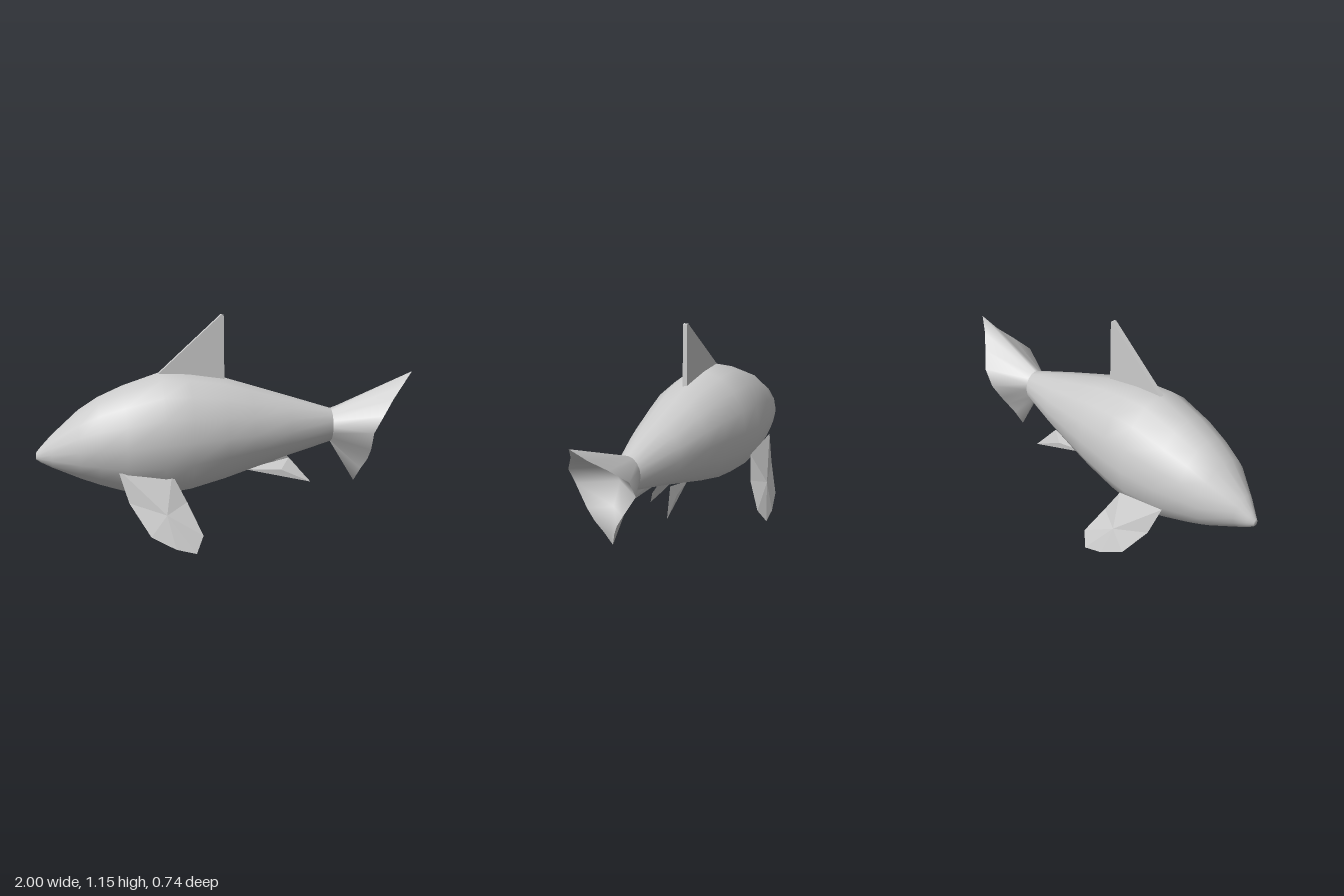
import * as THREE from 'three';

const SIDES = 16;
const V = (x, y, z) => new THREE.Vector3(x, y, z);

function material(options = {}) {
  return new THREE.MeshStandardMaterial({ color: 0xcccccc, ...options });
}

// Skin over rows of points; closed rows wrap round into a tube
function skin(rows, closed) {
  const n = rows[0].length;
  const index = [];
  for (let r = 0; r < rows.length - 1; r++) {
    for (let i = 0; i < (closed ? n : n - 1); i++) {
      const j = (i + 1) % n;
      const a = r * n + i, b = r * n + j, c = a + n, d = b + n;
      index.push(a, b, c, b, d, c);
    }
  }
  const geometry = new THREE.BufferGeometry().setFromPoints(rows.flat());
  geometry.setIndex(index);
  geometry.computeVertexNormals();
  return geometry;
}

// Oval cross-section, counted from the top round towards +z
function ring([x, top, bottom, halfWidth, z]) {
  return Array.from({ length: SIDES }, (_, i) => {
    const a = (i / SIDES) * Math.PI * 2;
    return V(x, (top + bottom) / 2 + ((top - bottom) / 2) * Math.cos(a), z + halfWidth * Math.sin(a));
  });
}

// Thin fin, thickest in the middle and sharp along its outline
function lensFin(outline, thickness) {
  const pts = outline.map((p) => V(...p));
  const centre = pts.reduce((s, p) => s.add(p), V(0, 0, 0)).divideScalar(pts.length);
  const normal = V(0, 0, 0);
  pts.forEach((p, i) => {
    const q = pts[(i + 1) % pts.length];
    normal.add(p.clone().sub(centre).cross(q.clone().sub(centre)));
  });
  normal.setLength(thickness / 2);
  const front = centre.clone().add(normal), back = centre.clone().sub(normal);
  const triangles = [];
  pts.forEach((p, i) => {
    const q = pts[(i + 1) % pts.length];
    triangles.push(front, p, q, back, q, p);
  });
  const geometry = new THREE.BufferGeometry().setFromPoints(triangles);
  geometry.computeVertexNormals();
  return geometry;
}

export function createModel() {
  const model = new THREE.Group();
  const add = (name, geometry, mat = material()) => {
    const mesh = new THREE.Mesh(geometry, mat);
    mesh.name = name;
    model.add(mesh);
  };

  // Body: x, top, bottom, half width, centre z
  const sections = [
    [-1, 0.445, 0.445, 0, 0],
    [-1, 0.465, 0.43, 0.015, 0],
    [-0.975, 0.495, 0.412, 0.035, 0],
    [-0.92, 0.555, 0.385, 0.075, 0.005],
    [-0.78, 0.68, 0.325, 0.175, 0.01],
    [-0.68, 0.745, 0.285, 0.207, 0.012],
    [-0.55, 0.803, 0.243, 0.243, 0.015],
    [-0.36, 0.865, 0.223, 0.27, 0.017],
    [-0.22, 0.857, 0.24, 0.258, 0.018],
    [-0.04, 0.828, 0.287, 0.235, 0.018],
    [0.1, 0.783, 0.33, 0.205, 0.016],
    [0.3, 0.718, 0.39, 0.155, 0.013],
    [0.55, 0.635, 0.455, 0.07, 0.01],
  ];
  add('body', skin(sections.map(ring), true));

  // Tail flares from the last body section to a leaf-shaped rim
  const rimHalf = [
    [1, 0.82, 0], [0.93, 0.75, 0.045], [0.86, 0.69, 0.105], [0.79, 0.62, 0.168],
    [0.74, 0.53, 0.168], [0.75, 0.42, 0.1], [0.745, 0.36, 0.062], [0.72, 0.3, 0.03], [0.69, 0.225, 0],
  ];
  const zTail = 0.015;
  const left = rimHalf.map(([x, y, w]) => V(x, y, zTail + w));
  const right = rimHalf.map(([x, y, w]) => V(x, y, zTail - w));
  const rim = [...left, ...right.slice(1, -1).reverse()];
  add('tailFin', skin([ring(sections.at(-1)), rim], true));

  // Hollow rear face of the tail
  const hollow = rimHalf.map(([x, y, w], i) => [right[i], V(x - 0.75 * w, y, zTail), left[i]]);
  add('tailHollow', skin(hollow, false), material({ side: THREE.DoubleSide }));

  // Dorsal fin: flat plate
  const plate = new THREE.Shape([[-0.37, 0.86], [-0.03, 0.82], [-0.033, 1.15], [-0.045, 1.153]]
    .map(([x, y]) => new THREE.Vector2(x, y)));
  const dorsal = new THREE.ExtrudeGeometry(plate, { depth: 0.025, bevelEnabled: false });
  dorsal.translate(0, 0, 0.015);
  add('dorsalFin', dorsal, material({ flatShading: true }));

  // Paired fins; the right pectoral sits a little higher
  const pectoral = [
    [-0.6, 0.42, 0.21], [-0.55, 0.25, 0.25], [-0.45, 0.09, 0.325], [-0.33, 0.03, 0.36],
    [-0.23, 0.005, 0.372], [-0.19, 0.085, 0.335], [-0.26, 0.24, 0.255], [-0.33, 0.38, 0.22],
  ];
  const pelvic = [[0.07, 0.34, 0.06], [0.41, 0.275, 0.135], [0.3, 0.4, 0.09]];
  const thin = { flatShading: true, side: THREE.DoubleSide };
  for (const [label, s, lift] of [['Left', 1, 0], ['Right', -1, 0.125]]) {
    const pec = pectoral.map(([x, y, z]) => [x, y + (0.42 - y) * lift, s * z]);
    add('pectoralFin' + label, lensFin(pec, 0.035), material(thin));
    const pel = pelvic.map(([x, y, z]) => [x, y, 0.015 + s * z]);
    add('pelvicFin' + label, lensFin(pel, 0.02), material(thin));
  }
  return model;
}
